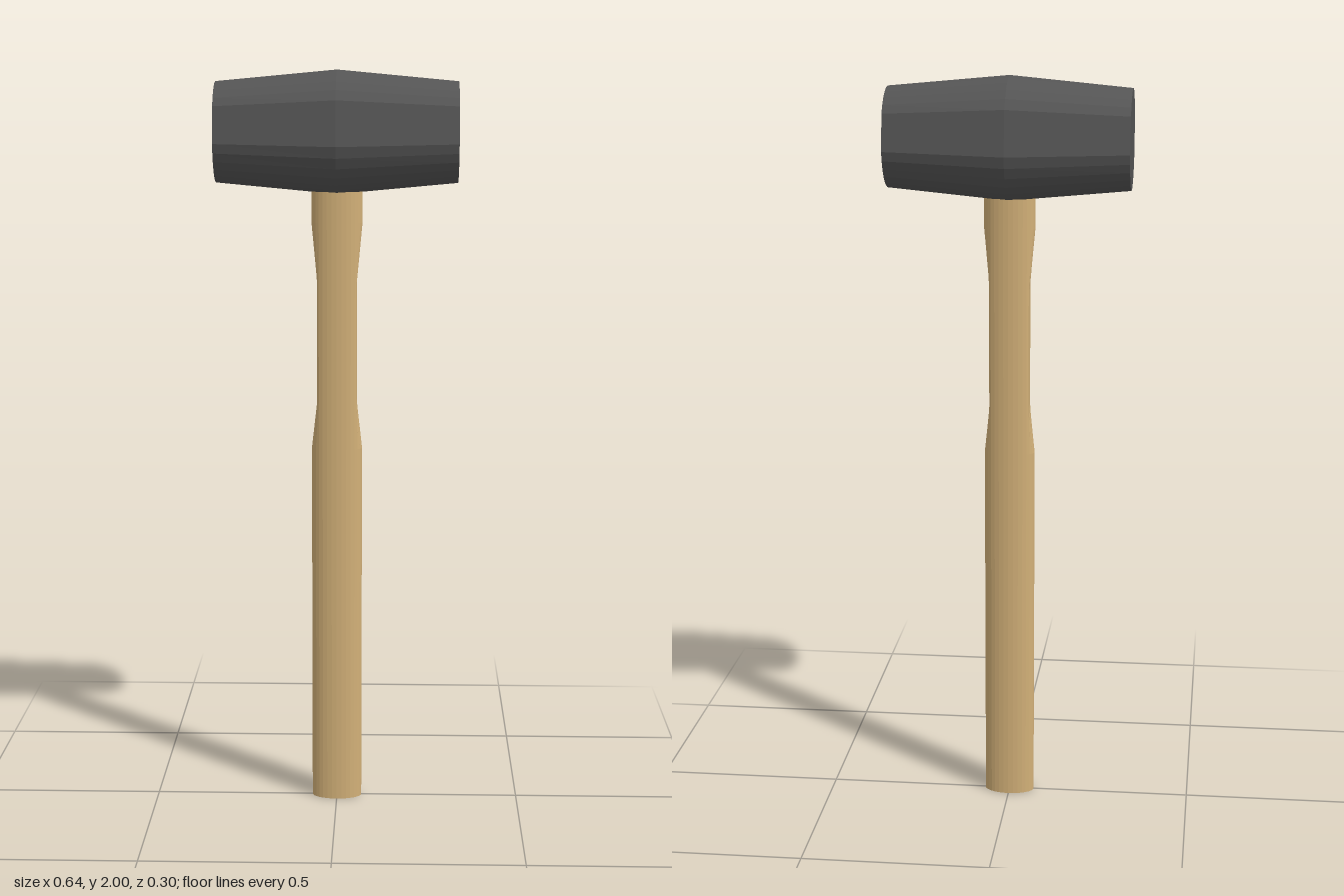
import * as THREE from 'three';

// Skin a list of rings (each counterclockwise about the direction of travel) and cap both ends.
function loft(rings) {
  const n = rings[0].length;
  const index = [];
  for (let i = 0; i < rings.length - 1; i++) {
    for (let j = 0; j < n; j++) {
      const a = i * n + j, b = i * n + (j + 1) % n;
      index.push(a, b, b + n, a, b + n, a + n);
    }
  }
  const last = (rings.length - 1) * n;
  for (let j = 1; j < n - 1; j++) {
    index.push(0, j + 1, j, last, last + j, last + j + 1);
  }
  const geometry = new THREE.BufferGeometry().setFromPoints(rings.flat());
  geometry.setIndex(index);
  const flat = geometry.toNonIndexed();
  flat.computeVertexNormals();
  return flat;
}

function part(name, geometry, color) {
  const mesh = new THREE.Mesh(geometry, new THREE.MeshStandardMaterial({ color, flatShading: true }));
  mesh.name = name;
  return mesh;
}

// Head outline: round crown and round belly joined by two slanted flats.
function headOutline() {
  const points = [];
  const arc = (centre, from, to, steps) => {
    for (let i = 0; i <= steps; i++) {
      const t = THREE.MathUtils.degToRad(from + (to - from) * i / steps);
      points.push([-0.152 * Math.cos(t), centre + 0.152 * Math.sin(t)]);
    }
  };
  arc(0.011, 30, 150, 10);
  arc(-0.01, 188, 352, 14);
  return points;
}

// Barrel-shaped head: widest in the middle, tapering to both striking faces.
function createHead() {
  const outline = headOutline();
  const rings = [[-0.32, 0.79, 0.815], [0, 1, 1], [0.32, 0.79, 0.815]].map(([x, sz, sy]) =>
    outline.map(([z, y]) => new THREE.Vector3(x, 1.837 + y * sy, z * sz)));
  return part('head', loft(rings), 0x555555);
}

// Oval handle whose narrow edges are shaved away to form the neck.
function createHandle() {
  const sides = 32;
  const profile = [[0, 0.068], [0.99, 0.068], [1.12, 0.053], [1.44, 0.053], [1.6, 0.068], [1.75, 0.068]];
  const rings = profile.map(([y, limit]) => Array.from({ length: sides }, (_, j) => {
    const t = j / sides * Math.PI * 2;
    const x = THREE.MathUtils.clamp(0.068 * Math.cos(t), -limit, limit);
    return new THREE.Vector3(x, y, -0.04 * Math.sin(t));
  }));
  return part('handle', loft(rings), 0xd2b078);
}

export function createModel() {
  const group = new THREE.Group();
  group.name = 'mallet';
  group.add(createHead(), createHandle());
  return group;
}
